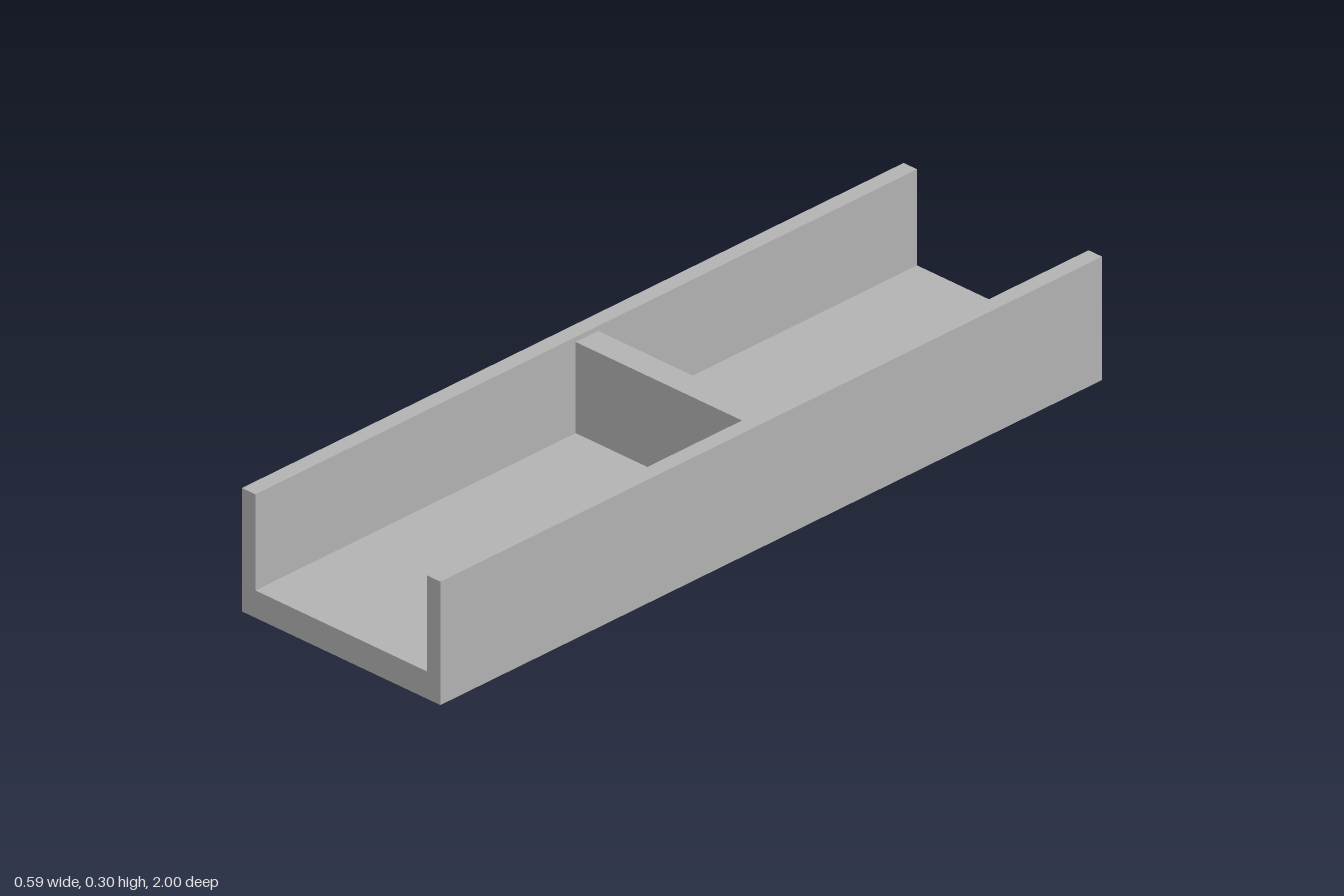
import * as THREE from 'three';

const LENGTH = 2, HALF_WIDTH = 0.294, HEIGHT = 0.298;
const INNER = 0.254, FLOOR = 0.066;

export function createModel() {
  const group = new THREE.Group();
  group.name = 'dividedChannel';
  const grey = new THREE.MeshStandardMaterial({ color: 0xb2b2b2 });
  grey.name = 'grey';

  // U-shaped channel: thick floor with two thin side walls, open at both ends
  const profile = new THREE.Shape([
    [-HALF_WIDTH, 0], [HALF_WIDTH, 0], [HALF_WIDTH, HEIGHT], [INNER, HEIGHT],
    [INNER, FLOOR], [-INNER, FLOOR], [-INNER, HEIGHT], [-HALF_WIDTH, HEIGHT],
  ].map(([x, y]) => new THREE.Vector2(x, y)));
  const channelGeometry = new THREE.ExtrudeGeometry(profile, { depth: LENGTH, bevelEnabled: false });
  channelGeometry.translate(0, 0, -LENGTH / 2);
  const channel = new THREE.Mesh(channelGeometry, grey);
  channel.name = 'channel';
  group.add(channel);

  // Cross wall at mid length, slightly lower than the side walls
  const top = 0.286, back = -0.036, front = 0.032;
  const divider = new THREE.Mesh(
    new THREE.BoxGeometry(INNER * 2, top - FLOOR, front - back), grey);
  divider.position.set(0, (top + FLOOR) / 2, (front + back) / 2);
  divider.name = 'divider';
  group.add(divider);

  return group;
}
